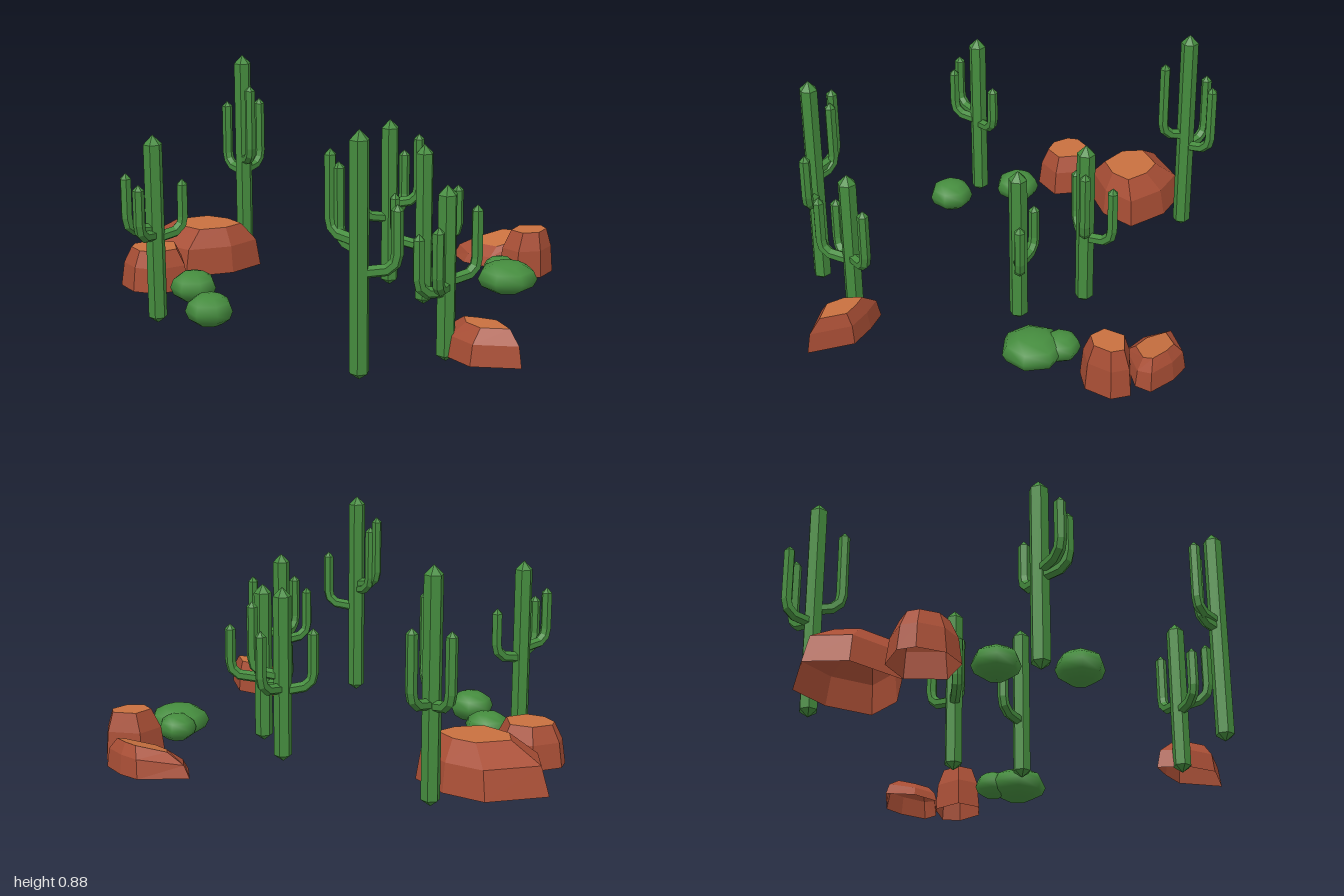
import * as THREE from 'three';

const mat = (name, color, side = THREE.FrontSide) => {
  const m = new THREE.MeshStandardMaterial({ color, side });
  m.name = name;
  return m;
};
const green = mat('cactusGreen', 0x458c3e);
const red = mat('rockRed', 0xa84e35, THREE.DoubleSide);
const orange = mat('rockTopOrange', 0xc8703f, THREE.DoubleSide);

function add(parent, name, geometry, material) {
  const m = new THREE.Mesh(geometry, material);
  m.name = name;
  parent.add(m);
  return m;
}

function addGroup(parent, name) {
  const g = new THREE.Group();
  g.name = name;
  parent.add(g);
  return g;
}

// Join equal rings of Vector3 into a faceted skin
function skin(rings) {
  const n = rings[0].length, idx = [];
  for (let i = 0; i < rings.length - 1; i++) {
    for (let j = 0; j < n; j++) {
      const a = i * n + j, b = i * n + (j + 1) % n, c = b + n, d = a + n;
      idx.push(a, d, b, b, d, c);
    }
  }
  const g = new THREE.BufferGeometry().setFromPoints(rings.flat());
  g.setIndex(idx);
  const flat = g.toNonIndexed();
  flat.computeVertexNormals();
  return flat;
}

// Six-sided limb along [distance, height, radius] points in the xy plane
function limb(points) {
  return skin(points.map(([d, y, r], i) => {
    const p = points[Math.max(i - 1, 0)], q = points[Math.min(i + 1, points.length - 1)];
    const t = new THREE.Vector2(q[0] - p[0], q[1] - p[1]).normalize();
    return Array.from({ length: 6 }, (_, j) => {
      const a = j * Math.PI / 3, c = r * Math.cos(a);
      return new THREE.Vector3(d + t.y * c, y - t.x * c, r * Math.sin(a));
    });
  }));
}

// Cactus: pointed trunk and bent arms given as [x, z, tip height];
// each arm leaves the trunk at a fixed share of its tip height
function addCactus(model, x, z, h, share, arms) {
  const cactus = addGroup(model, 'cactus');
  cactus.position.set(x, 0, z);
  const R = 0.036, r = 0.022;
  add(cactus, 'trunk', limb([[0, 0.01, 0], [0, R, R], [0, h - R, R], [0, h, 0]]), green);
  arms.forEach(([ax, az, tip]) => {
    const d = Math.hypot(ax - x, az - z), y = tip * share;
    const path = [[0, y, 0], [r / 2, y, r], [d - 1.6 * r, y + r / 2, r], [d - r / 3, y + 1.6 * r, r],
      [d, y + 3 * r, r], [d, tip - r, r], [d, tip, 0]];
    add(cactus, 'arm', limb(path), green).rotation.y = Math.atan2(z - az, ax - x);
  });
}

// Rock: open-bottomed sides drawn in towards (cx, cz), closed by a paler cap
function addRock(model, cx, cz, height, shrink, lean, base) {
  const rock = addGroup(model, 'rock');
  const ground = 0.035;
  const ring = (scale, rise) => base.map(([x, z]) => {
    const dz = (z - cz) * scale;
    return new THREE.Vector3(cx + (x - cx) * scale, ground + (height - ground - lean * dz) * rise, cz + dz);
  });
  const top = ring(shrink, 1);
  add(rock, 'rockSides', skin([ring(1, 0), ring(0.9, 0.6), top]), red);
  add(rock, 'rockTop', skin([top, ring(0, 1)]), orange);
}

// Bush: low seven-sided spheroid
function addBush(model, x, z, radius, halfHeight) {
  const bush = add(model, 'bush', new THREE.SphereGeometry(1, 7, 6), green);
  bush.scale.set(radius, halfHeight, radius);
  bush.position.set(x, 0.1, z);
}

export function createModel() {
  const model = new THREE.Group();
  model.name = 'desertPlantsAndRocks';

  addCactus(model, -0.74, -0.155, 0.895, 0.57, [[-0.85, -0.17, 0.68], [-0.65, -0.105, 0.78], [-0.755, -0.27, 0.69]]);
  addCactus(model, 0, -0.24, 0.705, 0.55, [[-0.065, -0.14, 0.54], [0.09, -0.315, 0.645], [-0.02, -0.36, 0.555]]);
  addCactus(model, 0.262, -0.13, 0.66, 0.55, [[0.14, -0.1, 0.45], [0.355, -0.225, 0.495]]);
  addCactus(model, 0.59, 0.655, 0.895, 0.62, [[0.47, 0.665, 0.815], [0.495, 0.65, 0.77], [0.695, 0.58, 0.64]]);
  addCactus(model, 0.71, 0.32, 0.66, 0.54, [[0.75, 0.195, 0.57], [0.675, 0.435, 0.5], [0.76, 0.435, 0.54]]);
  addCactus(model, -0.375, 0.7, 0.745, 0.62, [[-0.345, 0.585, 0.56], [-0.39, 0.825, 0.62], [-0.34, 0.81, 0.58]]);

  addRock(model, -0.65, 0.1, 0.22, 0.55, 0,
    [[-1, 0.19], [-0.89, -0.03], [-0.72, -0.075], [-0.54, -0.04], [-0.545, 0.12], [-0.65, 0.29], [-0.88, 0.3]]);
  addRock(model, -0.67, 0.44, 0.197, 0.67, 0,
    [[-0.81, 0.47], [-0.77, 0.35], [-0.65, 0.295], [-0.53, 0.39], [-0.57, 0.52], [-0.67, 0.56], [-0.775, 0.53]]);
  addRock(model, 0.23, -0.775, 0.14, 0.6, 0.3,
    [[0, -0.685], [0.12, -0.84], [0.21, -0.855], [0.325, -0.84], [0.335, -0.775], [0.22, -0.625], [0.1, -0.62]]);
  addRock(model, 0.395, -0.7, 0.22, 0.65, 0,
    [[0.28, -0.71], [0.39, -0.8], [0.455, -0.76], [0.47, -0.65], [0.405, -0.57], [0.305, -0.585]]);
  addRock(model, 0.86, 0.24, 0.165, 0.57, 0,
    [[0.64, 0.25], [0.73, 0.21], [0.84, 0.18], [1, 0.265], [0.85, 0.365], [0.72, 0.335]]);

  addBush(model, -0.395, 0.49, 0.092, 0.062);
  addBush(model, -0.145, 0.65, 0.092, 0.064);
  addBush(model, 0.475, -0.4, 0.122, 0.065);
  addBush(model, 0.395, -0.465, 0.076, 0.055);

  return model;
}
